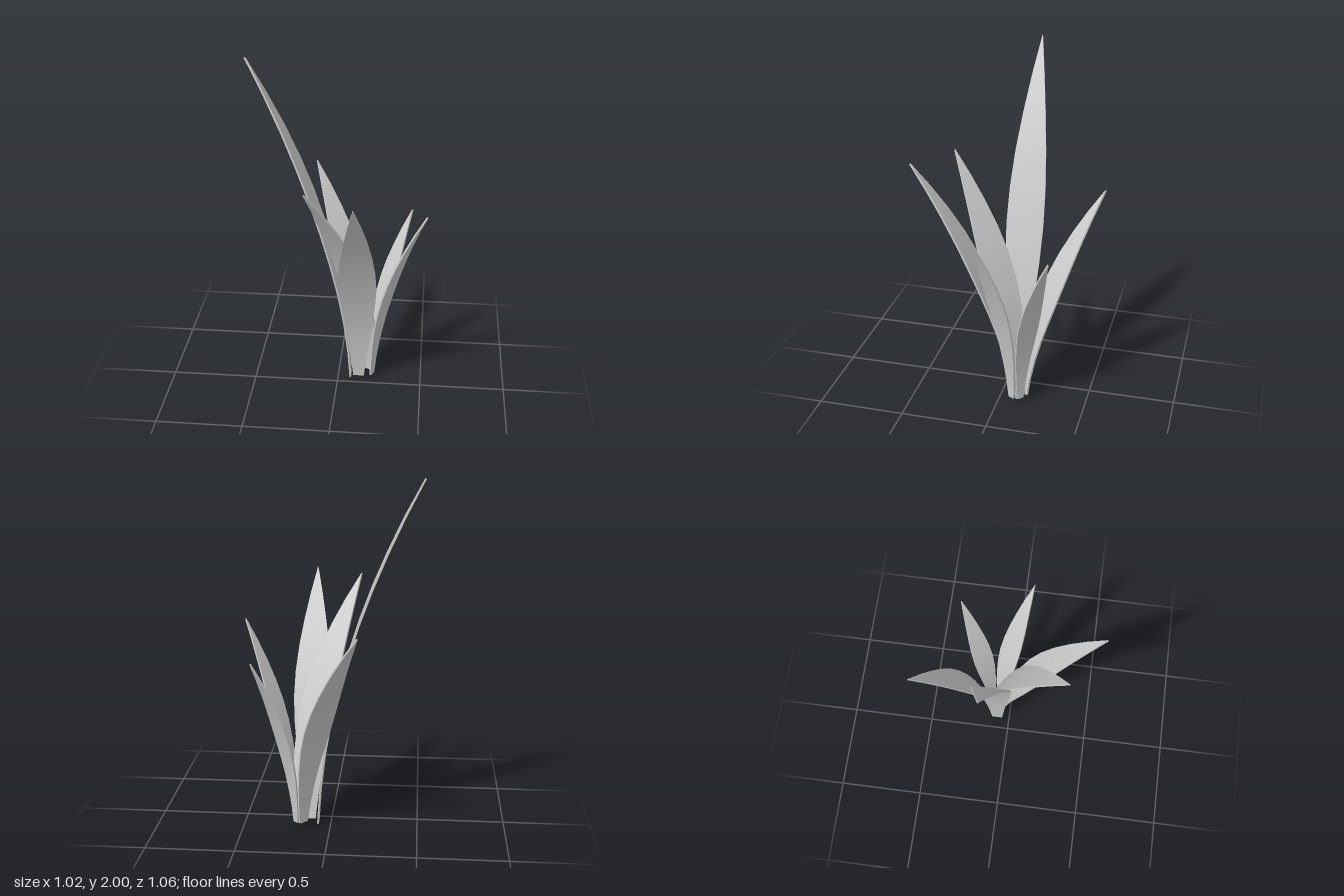
import * as THREE from 'three';

// Relative half width of a blade at equal steps from base to tip
const PROFILE = [0.3, 0.45, 0.61, 0.77, 0.92, 1, 0.96, 0.82, 0.6, 0.33, 0.01];
const ROWS = PROFILE.length - 1;
const THICKNESS = 0.01;

// One thin blade that rises from base and bends outwards to tip
function createLeaf(name, base, tip, halfWidth, material) {
  const [bx, by, bz] = base;
  const dx = tip[0] - bx, dz = tip[2] - bz;
  const reach = Math.hypot(dx, dz);
  const height = tip[1] - by;

  const geometry = new THREE.BoxGeometry(2, 1, 1, 2, ROWS, 1);
  const p = geometry.attributes.position;
  for (let i = 0; i < p.count; i++) {
    const t = p.getY(i) + 0.5;
    const width = halfWidth * PROFILE[Math.round(t * ROWS)];
    const bend = reach * (0.15 * t + 0.85 * t * t);
    // thickness is laid along the normal of the bent centre line
    const slope = reach * (0.15 + 1.7 * t) / height;
    const n = p.getZ(i) * THICKNESS / Math.hypot(1, slope);
    p.setXYZ(i, p.getX(i) * width, height * t - n * slope, bend + n);
  }
  geometry.computeVertexNormals();

  const leaf = new THREE.Mesh(geometry, material);
  leaf.name = name;
  leaf.position.set(bx, by, bz);
  leaf.rotation.y = Math.atan2(dx, dz);
  return leaf;
}

export function createModel() {
  const group = new THREE.Group();
  group.name = 'leafyPlant';
  const material = new THREE.MeshStandardMaterial({ color: 0xcccccc, side: THREE.DoubleSide });

  // name, base point, tip point, half width
  const leaves = [
    ['tallLeaf', [0.075, 0.005, -0.078], [-0.505, 2, -0.075], 0.108],
    ['frontLeaf', [0.125, 0.015, -0.06], [0.127, 1.4, 0.525], 0.107],
    ['frontRightLeaf', [0.188, 0.02, -0.122], [-0.147, 1.4, 0.35], 0.107],
    ['backRightLeaf', [0.155, 0.03, -0.145], [-0.17, 1.23, -0.525], 0.091],
    ['leftLeaf', [0.205, 0.02, -0.075], [0.505, 1.175, 0.092], 0.066],
    ['backLeftLeaf', [0.2, 0.02, -0.125], [0.418, 1.025, -0.325], 0.064],
  ];
  for (const [name, base, tip, halfWidth] of leaves) {
    group.add(createLeaf(name, base, tip, halfWidth, material));
  }
  return group;
}
